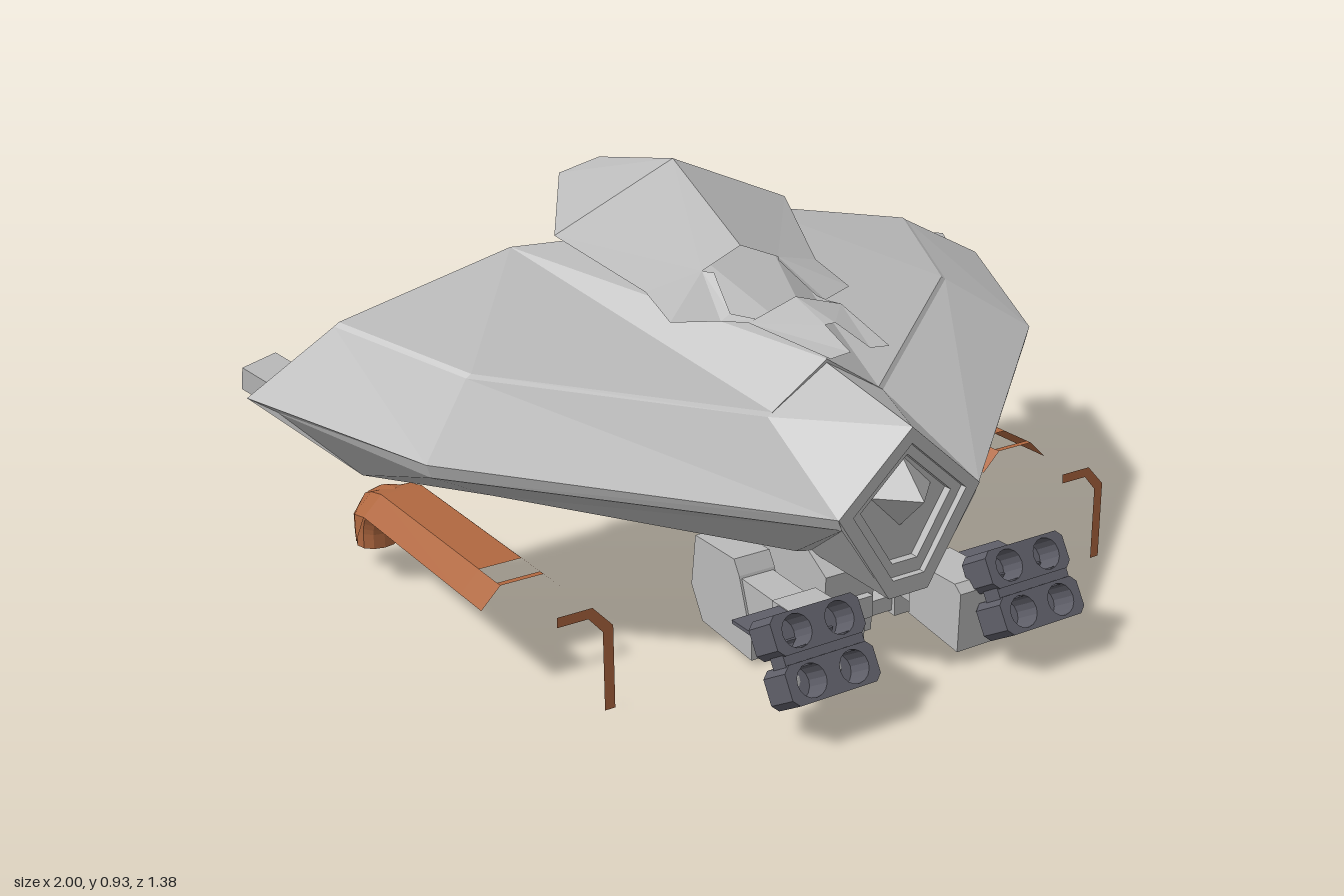
import * as THREE from 'three';

const paint = (name, color) => {
  const m = new THREE.MeshStandardMaterial({ color, side: THREE.DoubleSide, flatShading: true });
  m.name = name;
  return m;
};

export function createModel() {
  const model = new THREE.Group();
  const grey = paint('hullGrey', 0xbababa);
  const dark = paint('launcherGrey', 0x5f5f69);
  const copper = paint('copper', 0xb06840);

  const add = (name, geo, mat, pos = [0, 0, 0], rot = [0, 0, 0], parent = model) => {
    const m = new THREE.Mesh(geo, mat);
    m.name = name;
    m.position.set(...pos);
    m.rotation.set(...rot);
    parent.add(m);
    return m;
  };
  const box = (w, h, d) => new THREE.BoxGeometry(w, h, d);
  const outline = (pts) => new THREE.Shape(pts.map(([x, y]) => new THREE.Vector2(x, y)));
  const extrude = (shape, depth) => new THREE.ExtrudeGeometry(shape, { depth, bevelEnabled: false, curveSegments: 8 });

  // Flat polygons as triangle fans, optionally mirrored across x = 0
  const facets = (polys, mirror = true) => {
    const v = [];
    for (const p of polys)
      for (let i = 1; i < p.length - 1; i++) {
        v.push(...p[0], ...p[i], ...p[i + 1]);
        if (mirror) for (const q of [p[0], p[i + 1], p[i]]) v.push(-q[0], q[1], q[2]);
      }
    const g = new THREE.BufferGeometry();
    g.setAttribute('position', new THREE.Float32BufferAttribute(v, 3));
    g.computeVertexNormals();
    return g;
  };
  // Solid from a side outline given as [z, y], centred across x
  const sideSolid = (pts, width) =>
    extrude(outline(pts.map(([z, y]) => [-z, y])), width).translate(0, 0, -width / 2).rotateY(Math.PI / 2);
  // Ring between two similar outlines
  const shrink = (pts, k, cy) => pts.map(([x, y]) => [x * k, cy + (y - cy) * k]);
  const frame = (pts, k, cy, depth) => {
    const s = outline(pts);
    s.holes.push(outline(shrink(pts, k, cy)));
    return extrude(s, depth);
  };

  // --- Wing hull: edges named by row, numbered from front to back
  const r0 = [0, 0.56, 0.555], r1 = [0, 0.612, 0.265];
  const n1 = [0.15, 0.522, 0.265], n2 = [0.64, 0.588, -0.13], n3 = [0.785, 0.637, -0.468];
  const up = ([x, y, z]) => [x - 0.012, y + 0.008, z];
  const p0 = [0, 0.62, 0.265], p1 = up(n1), p2 = up(n2), p3 = up(n3);
  const back = [0.33, 0.733, -0.51], peak = [0, 0.757, -0.37];
  const e0 = [0.18, 0.4, 0.555], e1 = [0.8, 0.473, 0], e2 = [1, 0.523, -0.445];
  const f0 = [0.17, 0.376, 0.555], f1 = [0.79, 0.443, 0], f2 = [0.95, 0.487, -0.44];
  const g0 = [0.15, 0.258, 0.37], g1 = [0.6, 0.32, -0.115], g2 = [0.8, 0.34, -0.33];
  const k0 = [0.05, 0.195, 0.555], k1 = [0.05, 0.2, 0.28], k2 = [0.05, 0.26, -0.32];
  const kb = [0.13, 0.3, -0.33], kt = [0.11, 0.47, -0.39];
  const mid = (p) => [0, p[1], p[2]];

  add('upperPanel', facets([
    [p0, p1, back, peak], [p1, p2, back], [p2, p3, back],
    [r1, n1, p1, p0], [n1, n2, p2, p1], [n2, n3, p3, p2],
  ]), grey);
  add('wingTop', facets([
    [r0, e0, n1, r1], [e0, e1, n2, n1], [e1, e2, n3, n2],
  ]), grey);
  add('wingEdge', facets([[e0, f0, f1, e1], [e1, f1, f2, e2]]), grey);
  add('wingUnderside', facets([
    [f0, g0, g1, f1], [f1, g1, g2, f2], [g0, g1, kb], [g1, g2, kb],
  ]), grey);
  add('wingBack', facets([
    [g2, f2, e2, n3, p3], [g2, p3, back], [g2, back, kb], [kb, back, kt], [kt, back, peak, mid(kt)],
  ]), grey);
  add('keel', facets([
    [f0, k0, k1, g0], [g0, k1, k2, kb], [k0, k1, mid(k1), mid(k0)],
    [k1, k2, mid(k2), mid(k1)], [kt, kb, k2, mid(k2), mid(kt)],
  ]), grey);

  // --- Diamond nose: stepped frames, recessed plate and pointed cone
  const diamond = [[0, 0.56], [-0.18, 0.4], [-0.05, 0.195], [0.05, 0.195], [0.18, 0.4]];
  add('noseFrame', frame(diamond, 0.8, 0.385, 0.035), grey, [0, 0, 0.522]);
  add('noseInnerFrame', frame(shrink(diamond, 0.8, 0.385), 0.8, 0.385, 0.02), grey, [0, 0, 0.522]);
  add('nosePlate', new THREE.ShapeGeometry(outline(shrink(diamond, 0.95, 0.385))), grey, [0, 0, 0.523]);
  add('nosePoint', new THREE.ConeGeometry(0.08, 0.08, 4), grey, [0, 0.412, 0.56], [Math.PI / 2, 0, 0]);

  // --- Rear engine outlet and keel hatch
  const outlet = [[-0.15, 0.085], [-0.08, -0.085], [0.08, -0.085], [0.15, 0.085]];
  add('engineOutlet', frame(outlet, 0.7, 0, 0.09), grey, [0, 0.555, -0.46]);
  const hatch = [[-0.1, 0.1], [-0.045, -0.1], [0.045, -0.1], [0.1, 0.1]];
  add('keelHatch', frame(hatch, 0.7, 0, 0.02), grey, [0, 0.365, -0.368], [-0.32, 0, 0]);

  // --- Floating canopy cover with an open cockpit
  const top = [0, 0.93, -0.335], wide = [0.31, 0.797, -0.335];
  const tail = [0.1, 0.838, -0.69], tailMid = [0, 0.868, -0.67];
  const hood = [0.1, 0.748, -0.06], hoodMid = [0, 0.79, -0.06];
  const c2 = [0.225, 0.714, -0.09], c3 = [0.235, 0.678, 0.025], c4 = [0.137, 0.675, 0.07];
  const q1 = [0.12, 0.69, 0.15], q4 = [0.013, 0.7, 0.275], inner = [0.113, 0.688, 0.07];
  add('canopyCover', facets([
    [top, wide, tail, tailMid], [top, hoodMid, hood, wide], [hood, c2, wide], [hood, c4, c3, c2],
  ]), grey);
  add('cockpitFrame', facets([
    [c4, q1, [0.1, 0.695, 0.15], inner], [hood, c4, inner, [0.085, 0.748, -0.035]],
    [[0, 0.727, 0.15], q1, q4, mid(q4)],
    [q1, [0.075, 0.667, 0.38], [0.025, 0.672, 0.38], q4],
  ]), grey);

  // --- Central undercarriage
  add('undercarriageCore', sideSolid(
    [[0.35, 0.01], [0.36, 0.17], [0.28, 0.22], [0.13, 0.22], [0.1, 0.1], [0.14, 0.02]], 0.13), grey);
  add('undercarriageChin', box(0.1, 0.05, 0.03), grey, [0, 0.08, 0.36]);
  add('crossBar', box(0.36, 0.06, 0.13), grey, [0, 0.075, 0.2]);
  add('crossFoot', box(0.42, 0.035, 0.14), grey, [0, 0.04, 0.25]);

  for (const s of [1, -1]) {
    // Rear vents and wing tip thrusters
    const vent = [[-0.1, 0.055], [-0.07, -0.05], [0.07, -0.05], [0.1, 0.055]];
    add('rearVent', frame(vent, 0.68, 0, 0.035), grey, [0.55 * s, 0.6, -0.47], [-0.4, 0.04 * s, 0]);
    add('tipThruster', box(0.095, 0.055, 0.14), grey, [0.9 * s, 0.517, -0.505], [0.27, -0.36 * s, 0]);

    // Shoulder brackets and launcher arms
    add('shoulderBracket', sideSolid(
      [[0.33, 0.012], [0.33, 0.06], [0.285, 0.19], [0.265, 0.222], [0.115, 0.222], [0.097, 0.1], [0.14, 0.028]],
      0.09), grey, [0.19 * s, 0, 0]);
    add('armRear', sideSolid([[0.41, 0.06], [0.41, 0.178], [0.27, 0.185], [0.27, 0.07]], 0.08), grey, [0.19 * s, 0, 0]);
    add('armFront', sideSolid([[0.57, 0.03], [0.575, 0.165], [0.555, 0.182], [0.405, 0.182], [0.405, 0.055]], 0.11),
      grey, [0.18 * s, 0, 0]);
    add('launcherMount', box(0.15, 0.008, 0.14), dark, [0.275 * s, 0.176, 0.5]);
    for (const x of [0.22, 0.32])
      add('launcherJoint', new THREE.SphereGeometry(0.034, 14, 10), grey, [x * s, 0.095, 0.58]);

    // Four-tube launcher, tilted upward
    const pod = new THREE.Group();
    pod.name = 'launcher';
    pod.position.set(0.27 * s, 0.16, 0.605);
    pod.rotation.x = -0.54;
    model.add(pod);
    for (const row of [1, -1]) {
      const w = 0.106, h = 0.041, c = 0.014;
      const face = outline([[-w + c, -h], [w - c, -h], [w, -h + c], [w, h - c],
        [w - c, h], [-w + c, h], [-w, h - c], [-w, -h + c]]);
      for (const t of [-0.051, 0.051]) face.holes.push(new THREE.Path().absarc(t, 0, 0.034, 0, Math.PI * 2, true));
      add('launcherTubes', extrude(face, 0.085), dark, [0, row * 0.05, -0.042], [0, 0, 0], pod);
      add('launcherBack', box(0.19, 0.07, 0.01), dark, [0, row * 0.05, -0.03], [0, 0, 0], pod);
    }
    add('launcherSpine', box(0.19, 0.04, 0.05), dark, [0, 0, 0.012], [0, 0, 0], pod);

    // Copper skid arm: open hood [z, half width, top, side bottom], same way round on both sides
    const arm = new THREE.Group();
    arm.name = 'skidArm';
    arm.position.x = 0.66 * s;
    model.add(arm);
    const rows = [
      [0.125, 0.095, 0.232, 0.187], [0.11, 0.095, 0.232, 0.187], [0.03, 0.095, 0.232, 0.187],
      [-0.45, 0.095, 0.232, 0.187], [-0.51, 0.092, 0.218, 0.105], [-0.58, 0.065, 0.188, 0.1],
    ].map(([z, w, t, b]) => [[-w, b, z], [-w, Math.max(b, t - 0.045), z], [-w * 0.52, t, z],
      [w * 0.52, t, z], [w, Math.max(b, t - 0.045), z], [w, b, z]]);
    const hoodFaces = [];
    for (let i = 0; i < rows.length - 1; i++)
      for (let j = 0; j < 5; j++)
        if (!(i === 1 && j === 2)) hoodFaces.push([rows[i][j], rows[i + 1][j], rows[i + 1][j + 1], rows[i][j + 1]]);
    add('skidHood', facets(hoodFaces, false), copper, [0, 0, 0], [0, 0, 0], arm);
    const path = new THREE.CatmullRomCurve3([[0.186, -0.47], [0.176, -0.525], [0.145, -0.58], [0.1, -0.602], [0.05, -0.605]]
      .map(([y, z]) => new THREE.Vector3(0, y, z)));
    add('skidElbow', new THREE.TubeGeometry(path, 12, 0.042, 12).scale(1.2, 1, 1), copper, [0, 0, 0], [0, 0, 0], arm);
    add('skidFoot', new THREE.CircleGeometry(0.042, 12).scale(1.2, 1, 1), copper,
      [0, 0.051, -0.605], [Math.PI / 2, 0, 0], arm);
    // Paper-thin front bracket
    const hook = outline([[-0.03, 0.235], [0.05, 0.235], [0.096, 0.185], [0.096, 0], [0.072, 0],
      [0.072, 0.176], [0.04, 0.213], [-0.03, 0.213]]);
    add('frontHook', new THREE.ShapeGeometry(hook), copper, [0, 0, 0.325], [0, 0, 0], arm);
  }
  return model;
}
